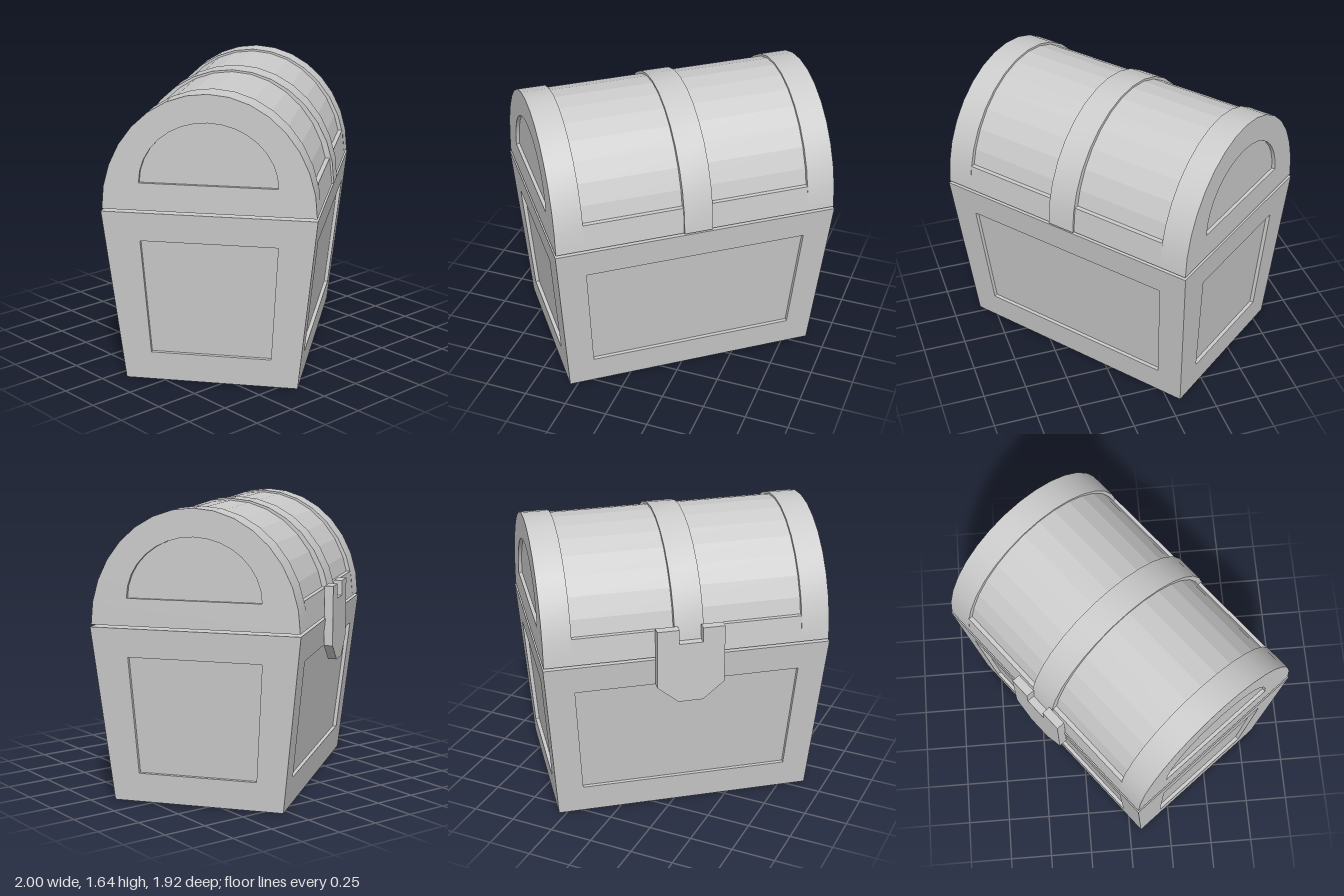
import * as THREE from 'three';
import { mergeGeometries, toCreasedNormals } from 'three/addons/utils/BufferGeometryUtils.js';

const material = new THREE.MeshStandardMaterial({ color: 0xcccccc });
const BODY_TOP = 0.985, LID_BASE = 0.998, RAIL_TOP = 1.15, SEGMENTS = 16;
const BOTTOM = [0.74, 0.483], TOP = [0.809, 0.588]; // half length, half depth

function addMesh(parent, name, geometry) {
  const mesh = new THREE.Mesh(geometry, material);
  mesh.name = name;
  parent.add(mesh);
  return mesh;
}

// Flat-shaded quads, each a list of four corners counter-clockwise from outside
function quads(list) {
  const points = list.flatMap(([a, b, c, d]) => [a, b, c, a, c, d]).flat();
  const geometry = new THREE.BufferGeometry();
  geometry.setAttribute('position', new THREE.Float32BufferAttribute(points, 3));
  geometry.computeVertexNormals();
  return geometry;
}

// One sloping side facing +z, with a recessed trapezoid panel
function sideWall(axis, panelBottom, panelTop) {
  const depthAt = y => THREE.MathUtils.lerp(BOTTOM[1 - axis], TOP[1 - axis], y / BODY_TOP);
  const loop = (w0, w1, y0, y1, inset) => [
    [-w0, y0, depthAt(y0) - inset], [w0, y0, depthAt(y0) - inset],
    [w1, y1, depthAt(y1) - inset], [-w1, y1, depthAt(y1) - inset]];
  const loops = [
    loop(BOTTOM[axis], TOP[axis], 0, BODY_TOP, 0),
    loop(panelBottom, panelTop, 0.165, 0.825, 0),
    loop(panelBottom, panelTop, 0.165, 0.825, 0.022)];
  const faces = [loops[2]];
  for (let l = 0; l < 2; l++) {
    for (let i = 0; i < 4; i++) {
      const j = (i + 1) % 4;
      faces.push([loops[l][i], loops[l][j], loops[l + 1][j], loops[l + 1][i]]);
    }
  }
  return quads(faces);
}

// Half-ellipse standing on y = base
function arch(halfWidth, height, base, Type = THREE.Shape) {
  const points = [];
  for (let i = 0; i <= SEGMENTS; i++) {
    const a = Math.PI * i / SEGMENTS;
    points.push(new THREE.Vector2(halfWidth * Math.cos(a), base + height * Math.sin(a)));
  }
  return new Type(points);
}

// Extrude a cross-section along the chest's length, from x0 to x1
function alongLength(shape, x0, x1) {
  return new THREE.ExtrudeGeometry(shape, { depth: x1 - x0, bevelEnabled: false })
    .translate(0, 0, x0).rotateY(Math.PI / 2);
}

export function createModel() {
  const model = new THREE.Group();
  model.name = 'chest';
  const chest = new THREE.Group();
  chest.name = 'turnedChest';
  chest.rotation.y = 0.658;
  model.add(chest);

  // Tapered body with four panelled sides
  const body = new THREE.Group();
  body.name = 'body';
  chest.add(body);
  ['frontWall', 'leftWall', 'backWall', 'rightWall'].forEach((name, k) => {
    const wall = k % 2 ? sideWall(1, 0.336, 0.377) : sideWall(0, 0.597, 0.637);
    addMesh(body, name, wall).rotation.y = k * Math.PI / 2;
  });
  const slab = ([w, d], y) => [[-w, y, d], [w, y, d], [w, y, -d], [-w, y, -d]];
  addMesh(body, 'bodyTop', quads([slab(TOP, BODY_TOP)]));
  addMesh(body, 'bodyBottom', quads([slab(BOTTOM, 0).reverse()]));

  // Faceted barrel lid
  const lid = new THREE.Group();
  lid.name = 'lid';
  chest.add(lid);
  addMesh(lid, 'barrel', alongLength(arch(0.56, 0.634, LID_BASE), -0.65, 0.65));

  // Low rail along both long edges of the lid
  const rail = new THREE.Shape([[-0.583, LID_BASE], [0.583, LID_BASE], [0.567, RAIL_TOP], [-0.567, RAIL_TOP]]
    .map(p => new THREE.Vector2(...p)));
  addMesh(lid, 'lidRail', alongLength(rail, -0.65, 0.65));

  // End bands, each closed by a plate with an arched recess
  for (const side of [-1, 1]) {
    const plate = arch(0.583, 0.645, LID_BASE);
    plate.holes.push(arch(0.377, 0.34, RAIL_TOP, THREE.Path));
    const span = (a, b) => side > 0 ? [a, b] : [-b, -a];
    const band = mergeGeometries([
      alongLength(arch(0.583, 0.645, LID_BASE), ...span(0.645, 0.784)),
      alongLength(plate, ...span(0.784, 0.804))]);
    addMesh(lid, side > 0 ? 'leftEndBand' : 'rightEndBand', toCreasedNormals(band, 0.6));
  }

  // Centre band
  const centre = alongLength(arch(0.594, 0.645, LID_BASE), -0.082, 0.082);
  addMesh(lid, 'centreBand', toCreasedNormals(centre, 0.6));

  // Notched latch plate on the back
  const latch = new THREE.Shape([
    [-0.07, 0.73], [0.07, 0.73], [0.19, 0.83], [0.19, 1.17], [0.066, 1.17],
    [0.066, 1.085], [-0.066, 1.085], [-0.066, 1.17], [-0.19, 1.17], [-0.19, 0.83]]
    .map(p => new THREE.Vector2(...p)));
  addMesh(chest, 'latch', new THREE.ExtrudeGeometry(latch, { depth: 0.05, bevelEnabled: false })
    .translate(0, 0, -0.63));

  return model;
}
